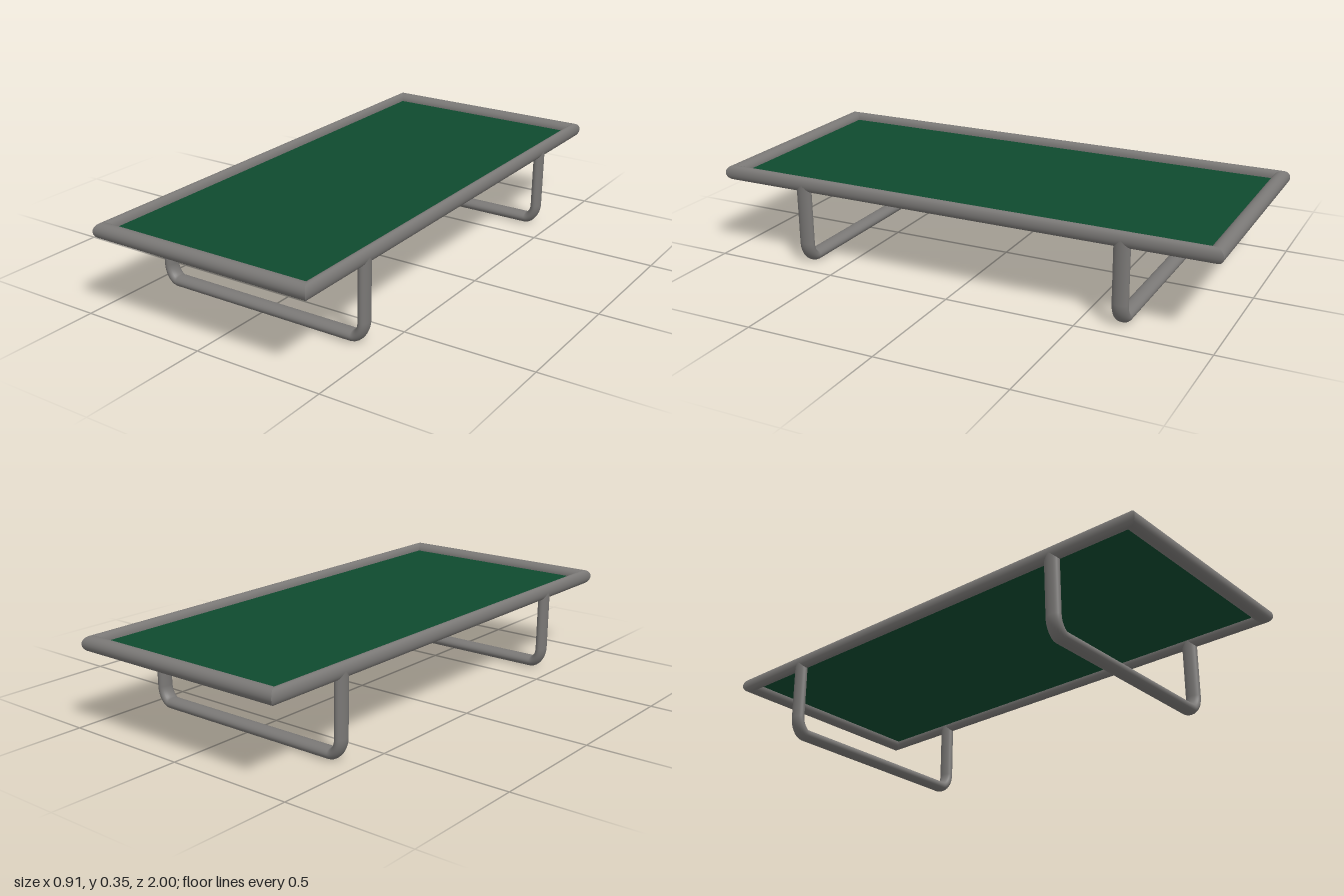
import * as THREE from 'three';

const steel = new THREE.MeshStandardMaterial({ color: 0x7a7876 });
steel.name = 'grey steel';
const canvas = new THREE.MeshStandardMaterial({ color: 0x0f4a2f, side: THREE.DoubleSide });
canvas.name = 'green canvas';

const FRAME_Y = 0.324, HALF_X = 0.434, HALF_Z = 0.97;
const RX = 0.019, RY = 0.029, RZ = 0.03;
const SIDES = 24;

// One tube of the frame, mitred at both corners (corners are sign pairs [x, z])
function rail(name, from, to) {
  const pos = [], index = [];
  for (let i = 0; i < SIDES; i++) {
    const a = (i / SIDES) * Math.PI * 2, c = Math.cos(a), s = Math.sin(a);
    for (const [sx, sz] of [from, to]) {
      pos.push(sx * (HALF_X + c * RX), FRAME_Y + s * RY, sz * (HALF_Z + c * RZ));
    }
    const p = i * 2, q = ((i + 1) % SIDES) * 2;
    index.push(p, p + 1, q + 1, p, q + 1, q);
  }
  const g = new THREE.BufferGeometry();
  g.setAttribute('position', new THREE.Float32BufferAttribute(pos, 3));
  g.setIndex(index);
  g.computeVertexNormals();
  const mesh = new THREE.Mesh(g, steel);
  mesh.name = name;
  return mesh;
}

// U-shaped leg: a round tube squashed to an oval section
function leg(name, z) {
  const r = 0.031, kx = 0.019 / r, ky = 0.0215 / r;
  const v = (x, y) => new THREE.Vector3(x / kx, y / ky, 0);
  const bottom = 0.0215, bendX = 0.39, bendY = 0.085, side = 0.432;
  const bend = (s) => [
    v(s * side, bendY), v(s * side, bendY - 0.55 * (bendY - bottom)),
    v(s * (bendX + 0.45 * (side - bendX)), bottom), v(s * bendX, bottom),
  ];
  const path = new THREE.CurvePath();
  path.add(new THREE.LineCurve3(v(-0.434, FRAME_Y), v(-side, bendY)));
  path.add(new THREE.CubicBezierCurve3(...bend(-1)));
  path.add(new THREE.LineCurve3(v(-bendX, bottom), v(bendX, bottom)));
  path.add(new THREE.CubicBezierCurve3(...bend(1).reverse()));
  path.add(new THREE.LineCurve3(v(side, bendY), v(0.434, FRAME_Y)));
  const g = new THREE.TubeGeometry(path, 160, r, SIDES, false);
  g.scale(kx, ky, 1);
  const mesh = new THREE.Mesh(g, steel);
  mesh.name = name;
  mesh.position.z = z;
  return mesh;
}

export function createModel() {
  const model = new THREE.Group();
  model.name = 'campBed';

  // Frame
  const frame = new THREE.Group();
  frame.name = 'frame';
  const corners = [[-1, 1], [1, 1], [1, -1], [-1, -1]];
  ['frontRail', 'leftRail', 'backRail', 'rightRail'].forEach((name, i) => {
    frame.add(rail(name, corners[i], corners[(i + 1) % 4]));
  });
  model.add(frame);

  // Sleeping surface stretched between the rails
  const sheet = new THREE.Mesh(new THREE.PlaneGeometry(HALF_X * 2, HALF_Z * 2), canvas);
  sheet.name = 'sleepingSurface';
  sheet.rotation.x = -Math.PI / 2;
  sheet.position.y = FRAME_Y;
  model.add(sheet);

  // Legs
  model.add(leg('frontLeg', 0.645), leg('backLeg', -0.645));
  return model;
}
